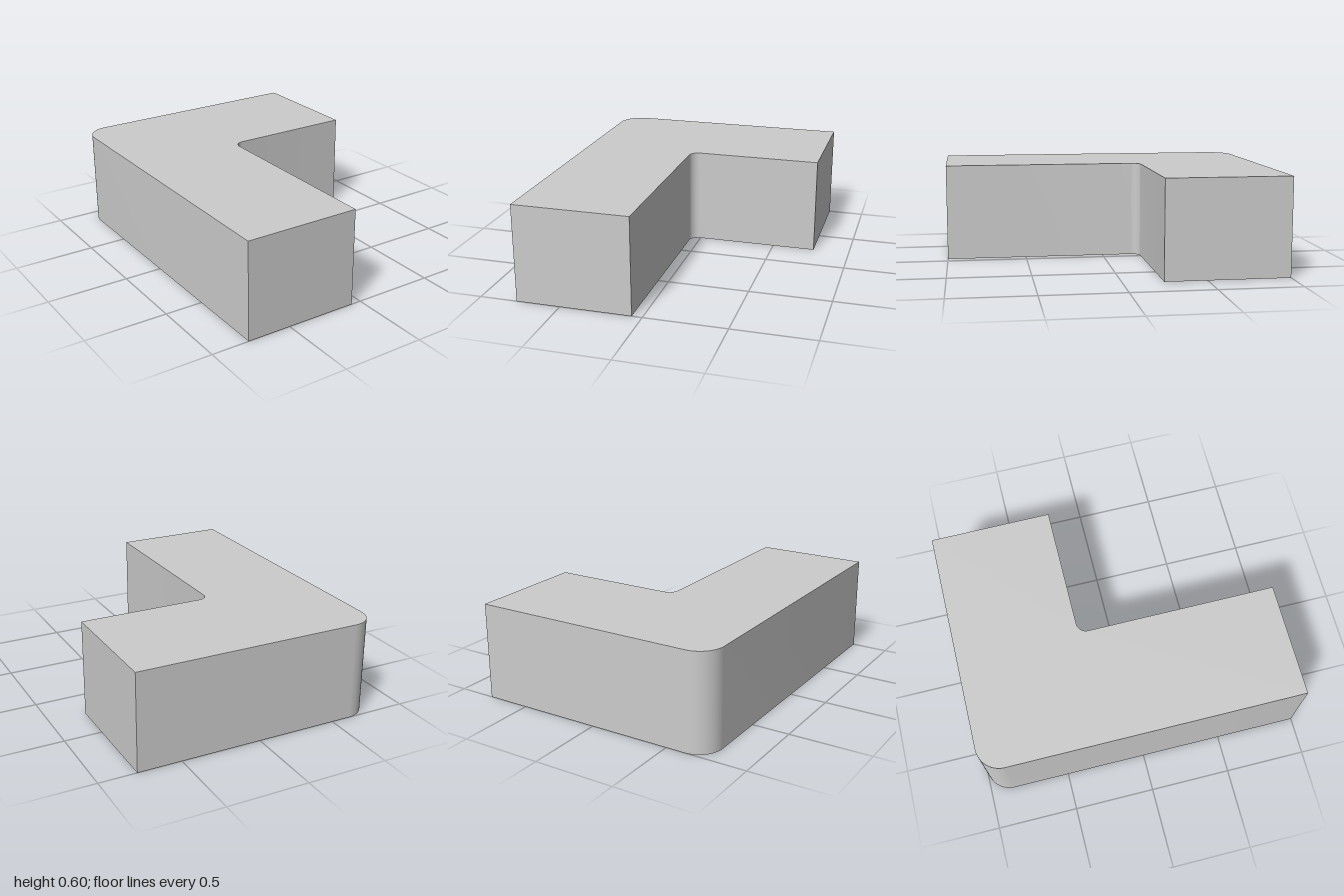
import * as THREE from 'three';
import { toCreasedNormals } from 'three/addons/utils/BufferGeometryUtils.js';

const HALF_WIDTH = 0.77, HALF_LENGTH = 1, HEIGHT = 0.6;
const INNER_X = -0.063, INNER_Z = -0.243; // faces meeting at the inside corner
const OUTER_RADIUS = 0.15, INNER_RADIUS = 0.06;

export function createModel() {
  const group = new THREE.Group();
  group.name = 'lShapedBlock';

  // L-shaped plan outline, drawn with shape y = -z
  const plan = new THREE.Shape();
  plan.moveTo(-HALF_WIDTH, -HALF_LENGTH);
  plan.lineTo(INNER_X, -HALF_LENGTH);
  // Inside corner fillet
  plan.absarc(INNER_X + INNER_RADIUS, -INNER_Z - INNER_RADIUS, INNER_RADIUS, Math.PI, Math.PI / 2, true);
  plan.lineTo(HALF_WIDTH, -INNER_Z);
  plan.lineTo(HALF_WIDTH, HALF_LENGTH);
  // Rounded outside corner
  plan.absarc(-HALF_WIDTH + OUTER_RADIUS, HALF_LENGTH - OUTER_RADIUS, OUTER_RADIUS, Math.PI / 2, Math.PI, false);
  plan.closePath();

  // Stand the extrusion upright, smooth only around the rounded corners
  const geometry = new THREE.ExtrudeGeometry(plan, { depth: HEIGHT, bevelEnabled: false, curveSegments: 16 });
  geometry.rotateX(-Math.PI / 2);

  const block = new THREE.Mesh(
    toCreasedNormals(geometry, Math.PI / 6),
    new THREE.MeshStandardMaterial({ color: 0xcccccc })
  );
  block.name = 'cornerBlock';
  group.add(block);
  return group;
}
